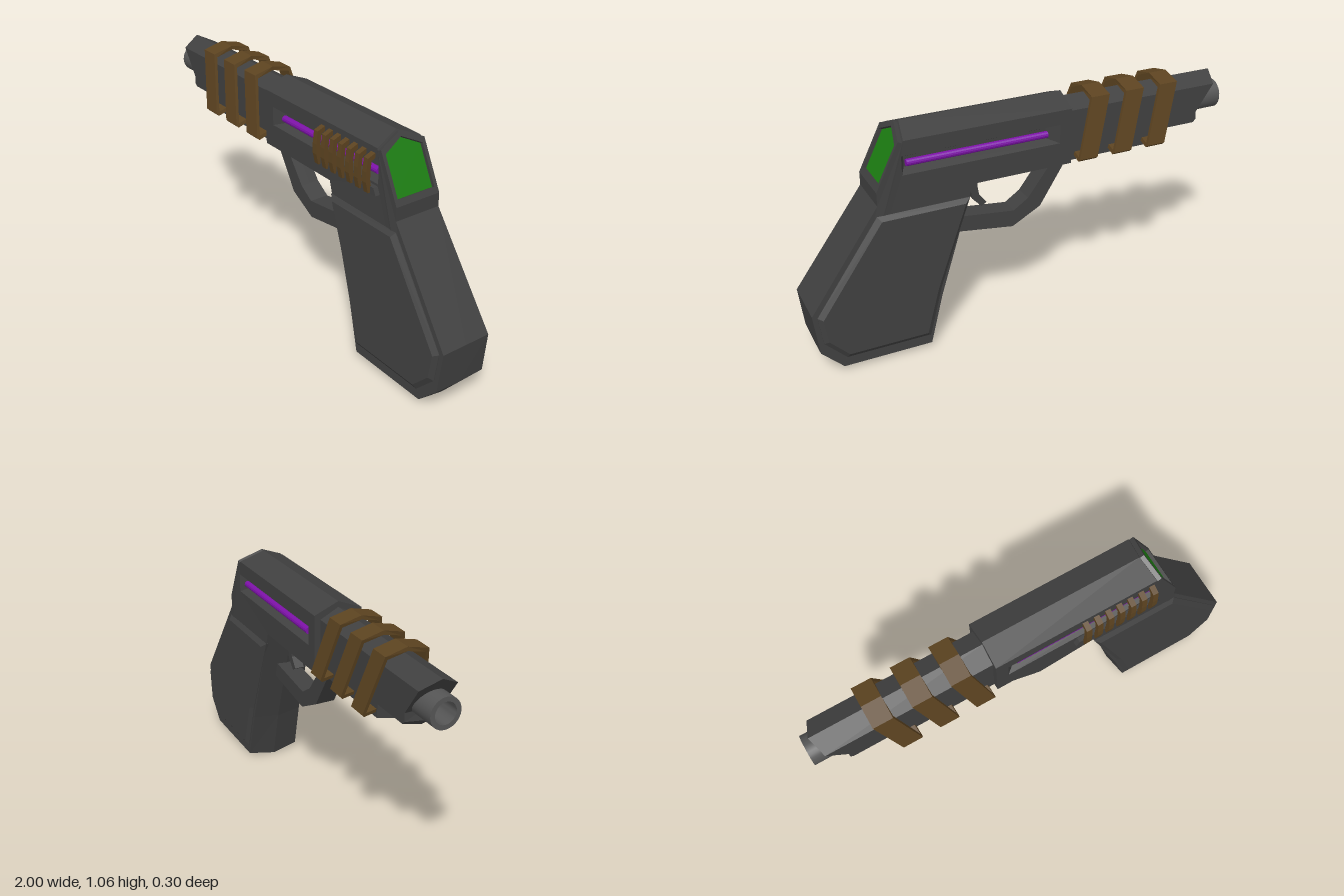
import * as THREE from 'three';
import { toCreasedNormals } from 'three/addons/utils/BufferGeometryUtils.js';

const paint = (color) => new THREE.MeshStandardMaterial({ color, flatShading: true });
const DARK = paint(0x404040), BROWN = paint(0x5c4320), GREEN = paint(0x1c7d12), PURPLE = paint(0x7d12a8);
const STEEL = new THREE.MeshStandardMaterial({ color: 0x555555 });

// Solid mirrored in z: rings of [x, y, z] run outward to the side face,
// which may hold a recess given as [rim, floor]
function mirroredSolid(rings, recess) {
  const pos = [];
  const tri = (a, b, c) => {
    pos.push(...a, ...b, ...c);
    for (const p of [a, c, b]) pos.push(p[0], p[1], -p[2]);
  };
  const loft = (a, b) => a.forEach((p, i) => {
    const j = (i + 1) % a.length;
    tri(p, a[j], b[j]);
    tri(p, b[j], b[i]);
  });
  const flat = (r) => r.map((p) => new THREE.Vector2(p[0], p[1]));
  const cap = (ring, hole = []) => {
    const all = [...ring, ...hole];
    for (const f of THREE.ShapeUtils.triangulateShape(flat(ring), hole.length ? [flat(hole)] : [])) {
      const [a, b, c] = f.map((i) => all[i]);
      const area = (b[0] - a[0]) * (c[1] - a[1]) - (b[1] - a[1]) * (c[0] - a[0]);
      if (area > 0) tri(a, b, c); else tri(a, c, b);
    }
  };
  if (THREE.ShapeUtils.isClockWise(flat(rings[0]))) rings = rings.map((r) => [...r].reverse());
  for (let i = 0; i < rings.length - 1; i++) loft(rings[i], rings[i + 1]);
  cap(rings[rings.length - 1], recess ? recess[0] : []);
  if (recess) {
    loft(recess[0], recess[1]);
    cap(recess[1]);
  }
  const g = new THREE.BufferGeometry();
  g.setAttribute('position', new THREE.Float32BufferAttribute(pos, 3));
  g.computeVertexNormals();
  return g;
}

// Lift a 2D outline to depth z, a number or a function of y
const at = (pts, z) => pts.map(([x, y]) => [x, y, typeof z === 'function' ? z(y) : z]);
const rect = (x0, x1, y0, y1) => [[x0, y0], [x1, y0], [x1, y1], [x0, y1]];
const shapeOf = (pts) => new THREE.Shape(pts.map(([x, y]) => new THREE.Vector2(x, y)));

// Cross-section given as [z, y], extruded along x and centred on 0
function alongX(section, width) {
  const g = new THREE.ExtrudeGeometry(shapeOf(section.map(([z, y]) => [-z, y])), { depth: width, bevelEnabled: false });
  return g.translate(0, 0, -width / 2).rotateY(Math.PI / 2);
}

export function createModel() {
  const model = new THREE.Group();
  const add = (name, geometry, material, parent = model) => {
    const m = new THREE.Mesh(geometry, material);
    m.name = name;
    parent.add(m);
    return m;
  };

  // Receiver and grip: ridged along the centre, with a slot in each side
  const mid = [[-0.2, 1.05], [0.538, 1.05], [0.667, 0.791], [0.685, 0.8], [0.685, 0.74], [1, 0.3],
    [0.98, 0.11], [0.885, 0], [0.47, 0], [0.41, 0.24], [0.25, 0.735], [-0.2, 0.735]];
  const edge = [[-0.2, 1.005], [0.56, 1.005], [0.667, 0.791], [0.685, 0.8], [0.685, 0.74], [1, 0.3],
    [0.98, 0.115], [0.885, 0.02], [0.485, 0.02], [0.425, 0.25], [0.265, 0.75], [-0.2, 0.75]];
  const sideZ = (y) => 0.11 + 0.022 * Math.max(0, 0.74 - y);
  add('receiverAndGrip', mirroredSolid([at(mid, 0), at(edge, sideZ)],
    [at(rect(-0.145, 0.572, 0.855, 0.94), 0.11), at(rect(-0.095, 0.55, 0.873, 0.92), 0.07)]), DARK);

  // Raised grip panels
  const panelBase = [[0.28, 0.695], [0.69, 0.695], [0.978, 0.29], [0.962, 0.16], [0.87, 0.065], [0.488, 0.065], [0.425, 0.3]];
  const panelTop = [[0.305, 0.675], [0.675, 0.675], [0.957, 0.28], [0.942, 0.17], [0.86, 0.085], [0.505, 0.085], [0.445, 0.3]];
  add('gripPanels', mirroredSolid([at(panelBase, 0.1), at(panelBase, (y) => sideZ(y) + 0.003),
    at(panelTop, (y) => 0.143 - 0.02 * y)]), DARK);

  // Barrel shroud with a raked front
  const shroudMid = [[-0.97, 1.025], [-0.19, 1.025], [-0.19, 0.73], [-0.67, 0.73], [-0.67, 0.79],
    [-0.85, 0.79], [-0.87, 0.815], [-0.862, 0.86]];
  const shroudEdge = [[-0.945, 0.983], [-0.19, 0.983], [-0.19, 0.75], [-0.67, 0.75], [-0.67, 0.81],
    [-0.85, 0.81], [-0.865, 0.825], [-0.862, 0.86]];
  add('barrelShroud', mirroredSolid([at(shroudMid, 0), at(shroudEdge, 0.083)]), DARK);

  // Hollow muzzle tube
  const bore = [[0.066, 0.8], [0.066, 1], [0.046, 1], [0.046, 0.87], [0, 0.87]].map((p) => new THREE.Vector2(...p));
  add('muzzle', toCreasedNormals(new THREE.LatheGeometry(bore, 28), 0.6).rotateZ(Math.PI / 2).translate(0, 0.903, 0), STEEL);

  // Glowing rods in the side slots
  for (const z of [-0.083, 0.083]) {
    add('slotRod', new THREE.CylinderGeometry(0.015, 0.015, 0.64, 12).rotateZ(Math.PI / 2).translate(0.225, 0.896, z), PURPLE);
  }

  // Framed rear screen on the slanted back face
  const rear = new THREE.Group();
  rear.name = 'rearScreen';
  const house = (w, y0, y1, y2) => [[-w, y0], [w, y0], [w, y1], [0, y2], [-w, y1]];
  const frame = shapeOf(house(0.11, 0, 0.229, 0.28));
  const opening = house(0.094, 0.028, 0.208, 0.257);
  frame.holes.push(shapeOf(opening));
  add('screenFrame', new THREE.ExtrudeGeometry(frame, { depth: 0.02, bevelEnabled: false }), DARK, rear);
  add('screen', new THREE.ShapeGeometry(shapeOf(opening)).translate(0, 0, 0.005), GREEN, rear);
  rear.rotation.setFromRotationMatrix(new THREE.Matrix4().makeBasis(
    new THREE.Vector3(0, 0, -1), new THREE.Vector3(-0.4472, 0.8944, 0), new THREE.Vector3(0.8944, 0.4472, 0)));
  rear.position.set(0.667, 0.791, 0);
  model.add(rear);

  // Three slanted straps around the shroud
  const outer = [[0, 1.056], [0.095, 1.033], [0.142, 0.77], [0.132, 0.76], [0.07, 0.775]];
  const inner = [[0.07, 0.79], [0.126, 0.778], [0.083, 1.018], [0, 1.038]];
  const half = [...outer, ...inner];
  const flip = ([z, y]) => [-z, y];
  const band = [...half, ...half.slice(1, -1).reverse().map(flip)];
  band.splice(half.length - 1, 1, inner[3]);
  for (let i = 0; i < 3; i++) {
    const g = alongX(band, 0.088);
    const p = g.attributes.position;
    for (let k = 0; k < p.count; k++) p.setX(k, p.getX(k) + Math.max(0, 1.033 - p.getY(k)) * 0.29);
    g.computeVertexNormals();
    add('strap', g.translate(-0.692 + i * 0.172, 0, 0), BROWN);
  }

  // Rail with seven small hoops over the slot on the front side
  add('hoopRail', mirroredRail(), DARK);
  const hoop = [[0.1, 0.985], [0.146, 0.966], [0.153, 0.91], [0.153, 0.865], [0.142, 0.817], [0.1, 0.817],
    [0.1, 0.835], [0.126, 0.835], [0.132, 0.87], [0.132, 0.91], [0.127, 0.952], [0.1, 0.962]];
  for (let i = 0; i < 7; i++) {
    add('hoop', alongX(hoop, 0.025).translate(0.2165 + i * 0.0535, 0, 0), BROWN);
  }

  // Trigger guard and trigger
  const guard = [[-0.205, 0.745], [-0.2, 0.72], [-0.085, 0.535], [0.05, 0.462], [0.36, 0.505], [0.36, 0.577],
    [0.045, 0.54], [-0.025, 0.587], [-0.125, 0.72], [-0.125, 0.745]];
  add('triggerGuard', mirroredSolid([at(guard, 0), at(guard, 0.045)]), DARK);
  const trigger = [[0.2, 0.76], [0.245, 0.76], [0.243, 0.7], [0.232, 0.63], [0.19, 0.585], [0.165, 0.6],
    [0.2, 0.645], [0.207, 0.69]];
  add('trigger', mirroredSolid([at(trigger, 0), at(trigger, 0.022)]), DARK);
  return model;
}

// Thin ledge under the hoops
function mirroredRail() {
  const ledge = shapeOf([[0.17, 0.815], [0.585, 0.815], [0.57, 0.845], [0.185, 0.845]]);
  return new THREE.ExtrudeGeometry(ledge, { depth: 0.04, bevelEnabled: false }).translate(0, 0, 0.092);
}
